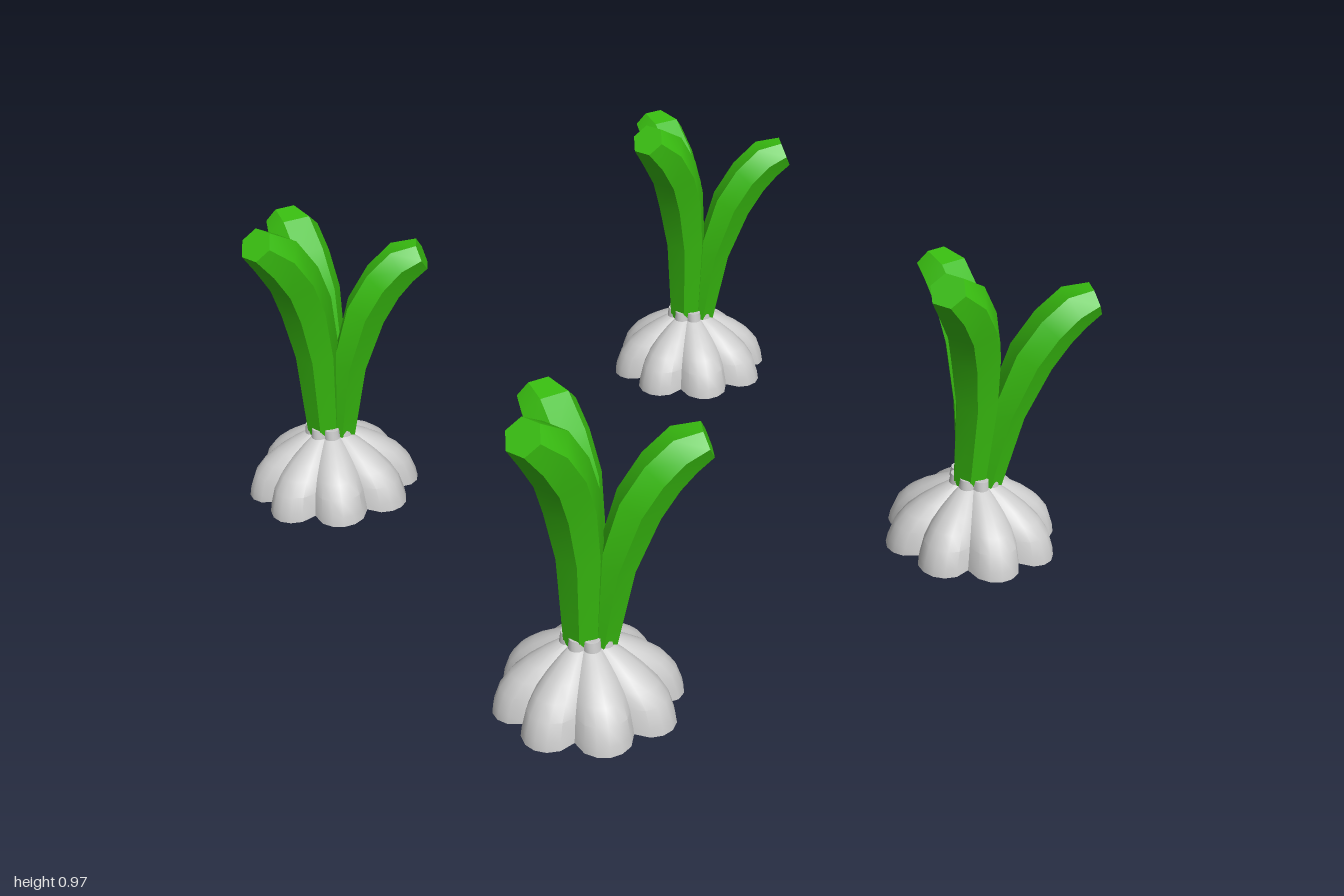
import * as THREE from 'three';
import { toCreasedNormals } from 'three/addons/utils/BufferGeometryUtils.js';

// Fluted bulb: a lathed dome whose radius is pushed into eight lobes
function bulbGeometry() {
  const profile = [
    [0.27, 0], [0.265, 0.03], [0.247, 0.08], [0.215, 0.12], [0.17, 0.155],
    [0.12, 0.185], [0.08, 0.205], [0.076, 0.235], [0.06, 0.235], [0.02, 0.225],
  ].map(([r, y]) => new THREE.Vector2(r, y));
  const geo = new THREE.LatheGeometry(profile, 48);
  const pos = geo.attributes.position;
  for (let i = 0; i < pos.count; i++) {
    const x = pos.getX(i), y = pos.getY(i), z = pos.getZ(i);
    const bulge = Math.pow(Math.abs(Math.sin(4 * Math.atan2(z, x))), 0.7);
    const s = 0.79 + 0.21 * bulge;
    const lift = y < 0.001 ? 0.01 * (1 - bulge) : 0;
    pos.setXYZ(i, x * s, y + lift, z * s);
  }
  return toCreasedNormals(geo, 0.6);
}

// Six-sided leaf swept along a bending path, narrow at the base and bevelled at the tip
const HEXAGON = [[1, 0], [0.52, 1], [-0.52, 1], [-1, 0], [-0.52, -1], [0.52, -1]];
const SCALES = [0.65, 0.85, 1, 1, 0.97, 0.7];

function leafGeometry({ path, width, thick }) {
  const points = path.map((p) => new THREE.Vector3(...p));
  const curve = new THREE.CatmullRomCurve3(points);
  const last = points.length - 1;
  const lean = points[last].clone().sub(points[0]).setY(0).normalize();
  const across = new THREE.Vector3(0, 1, 0).cross(lean).normalize();
  const verts = [], index = [];
  points.forEach((p, i) => {
    const tangent = curve.getTangent(i / last);
    const normal = tangent.clone().cross(across).normalize();
    for (const [u, v] of HEXAGON) {
      const q = p.clone()
        .addScaledVector(across, u * width * SCALES[i])
        .addScaledVector(normal, v * thick * SCALES[i]);
      verts.push(q.x, q.y, q.z);
    }
  });
  for (let i = 0; i < last; i++) {
    for (let j = 0; j < 6; j++) {
      const a = i * 6 + j, b = i * 6 + (j + 1) % 6;
      index.push(a, b, b + 6, a, b + 6, a + 6);
    }
  }
  // End caps
  const end = last * 6;
  for (let j = 1; j < 5; j++) {
    index.push(0, j + 1, j, end, end + j, end + j + 1);
  }
  const geo = new THREE.BufferGeometry();
  geo.setAttribute('position', new THREE.Float32BufferAttribute(verts, 3));
  geo.setIndex(index);
  return toCreasedNormals(geo, 0.6);
}

const LEAVES = [
  {
    name: 'tallLeaf', width: 0.083, thick: 0.068,
    path: [[-0.02, 0.2, 0], [-0.035, 0.5, 0.02], [-0.065, 0.67, 0.03],
      [-0.105, 0.78, 0.045], [-0.165, 0.875, 0.055], [-0.228, 0.93, 0.06]],
  },
  {
    name: 'frontLeaf', width: 0.08, thick: 0.06,
    path: [[0.03, 0.2, 0.025], [0.06, 0.45, 0.05], [0.11, 0.63, 0.085],
      [0.16, 0.725, 0.115], [0.215, 0.785, 0.14], [0.27, 0.81, 0.17]],
  },
  {
    name: 'backLeaf', width: 0.086, thick: 0.056,
    path: [[0.02, 0.2, -0.03], [0.03, 0.45, -0.06], [0.035, 0.64, -0.105],
      [0.035, 0.745, -0.16], [0.035, 0.815, -0.22], [0.035, 0.836, -0.28]],
  },
];

export function createModel() {
  const bulbGrey = new THREE.MeshStandardMaterial({ color: 0xcccccc, side: THREE.DoubleSide });
  bulbGrey.name = 'bulbGrey';
  const leafGreen = new THREE.MeshStandardMaterial({ color: 0x38bc10 });
  leafGreen.name = 'leafGreen';

  const bulbGeo = bulbGeometry();
  const leafGeos = LEAVES.map(leafGeometry);

  const model = new THREE.Group();
  model.name = 'sproutingBulbs';

  // Four identical plants at the corners of a square
  for (const x of [-0.743, 0.697]) {
    for (const z of [-0.71, 0.733]) {
      const plant = new THREE.Group();
      plant.name = 'plant';
      plant.position.set(x, 0, z);
      const bulb = new THREE.Mesh(bulbGeo, bulbGrey);
      bulb.name = 'bulb';
      plant.add(bulb);
      LEAVES.forEach((leaf, i) => {
        const mesh = new THREE.Mesh(leafGeos[i], leafGreen);
        mesh.name = leaf.name;
        plant.add(mesh);
      });
      model.add(plant);
    }
  }
  return model;
}
